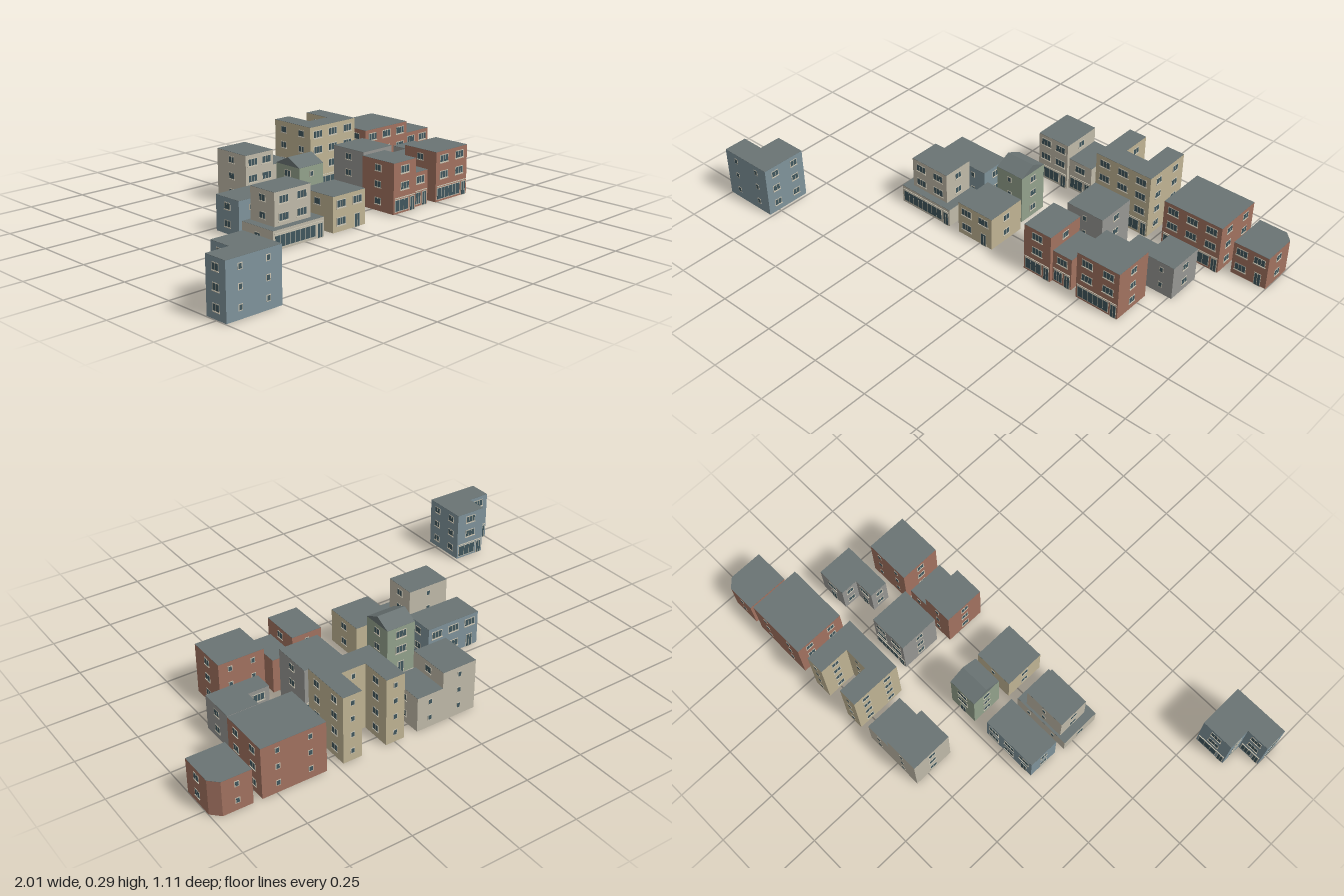
import * as THREE from 'three';
import { mergeGeometries } from 'three/addons/utils/BufferGeometryUtils.js';

const mat = (color) => new THREE.MeshStandardMaterial({ color, roughness: 0.9 });
const ROOF = mat(0x6a7474), GLASS = mat(0x40575e), FRAME = mat(0xcac4b2);
const RED = mat(0xa27260), BEIGE = mat(0xc0b494), WHITE = mat(0xc0baa9);
const GREY = mat(0x979793), BLUE = mat(0x7f939b), GREEN = mat(0x93a28c);

// Storey heights: one, two, three and four floors
const H1 = 0.08, H2 = 0.147, H3 = 0.215, H4 = 0.285;
const WINDOW_Y = [0.042, 0.113, 0.182, 0.25];

const rect = (x0, x1, z0, z1) => [[x0, z0], [x1, z0], [x1, z1], [x0, z1]];

// Vertical prism over a footprint of [x, z] corners
function prism(points, y0, y1) {
  const shape = new THREE.Shape(points.map(([x, z]) => new THREE.Vector2(x, -z)));
  const g = new THREE.ExtrudeGeometry(shape, { depth: y1 - y0, bevelEnabled: false });
  return g.rotateX(-Math.PI / 2).translate(0, y0, 0);
}

// Collects the glass and frame boxes of one building
class Openings {
  constructor() {
    this.glass = [];
    this.frame = [];
  }

  // Place a box on a wall: u along it, y up, standing out by d
  box(list, wall, u, y, w, h, d) {
    const g = new THREE.BoxGeometry(w, h, d * 2);
    g.rotateY(Math.atan2(wall.nx, wall.nz));
    list.push(g.translate(wall.x + wall.dx * u, y, wall.z + wall.dz * u));
  }

  // Framed window or door divided into panes
  add(wall, u, y, w, h, panes) {
    const edge = 0.003;
    this.box(this.frame, wall, u, y, w + edge * 2, h + edge * 2, 0.001);
    this.box(this.glass, wall, u, y, w, h, 0.0016);
    for (let i = 1; i < panes; i++) {
      this.box(this.frame, wall, u - w / 2 + (w * i) / panes, y, 0.002, h, 0.002);
    }
  }

  // Sill or lintel strip
  strip(wall, u, y, w) {
    this.box(this.frame, wall, u, y, w, 0.003, 0.003);
  }
}

// Openings along one wall; the street front has wide windows, the rear small ones
function dressWall(o, wall, len, side, floors, firstFloor, shop) {
  if (len < 0.07) return;
  const n = side === 'front'
    ? Math.max(1, Math.round(len / 0.095))
    : Math.max(1, Math.floor(len / 0.095));
  for (let f = firstFloor; f < floors; f++) {
    const y = WINDOW_Y[f];
    if (side === 'front' && f === 0 && shop) {
      // Shop front: display panes with a door at one end
      const glassW = len - 0.055;
      o.add(wall, -len / 2 + 0.01 + glassW / 2, 0.034, glassW, 0.046, Math.max(3, Math.round(glassW / 0.025)));
      o.add(wall, len / 2 - 0.02, 0.029, 0.022, 0.056, 2);
      o.strip(wall, 0, 0.066, len - 0.01);
      continue;
    }
    for (let i = 0; i < n; i++) {
      const u = (len * (i + 0.5)) / n - len / 2;
      if (side === 'front' && f === 0 && i === n - 1) {
        o.add(wall, u, 0.027, 0.024, 0.053, 2);
      } else if (side === 'front') {
        o.add(wall, u, y, 0.044, 0.027, 3);
        o.strip(wall, u, y - 0.018, 0.054);
      } else if (side === 'back') {
        o.add(wall, u, y, 0.013, 0.018, 1);
      } else {
        o.add(wall, u, y, 0.029, 0.023, 2);
        o.strip(wall, u, y - 0.015, 0.037);
      }
    }
  }
}

// One building from stacked or joined blocks; face is +1 or -1 for a front at +z or -z
function building(name, color, face, shop, blocks) {
  const group = new THREE.Group();
  group.name = name;
  const o = new Openings();
  const walls = [], roofs = [];
  for (const { pts, top, base = 0 } of blocks) {
    walls.push(prism(pts, base, top - 0.001));
    roofs.push(prism(pts, top - 0.001, top));
    const next = (i) => pts[(i + 1) % pts.length];
    const area = pts.reduce((s, [x, z], i) => s + x * next(i)[1] - next(i)[0] * z, 0);
    const floors = Math.round(top / 0.071);
    pts.forEach((a, i) => {
      const b = next(i);
      const len = Math.hypot(b[0] - a[0], b[1] - a[1]);
      const s = Math.sign(area) / len;
      const nx = (b[1] - a[1]) * s, nz = (a[0] - b[0]) * s;
      const wall = { x: (a[0] + b[0]) / 2, z: (a[1] + b[1]) / 2, nx, nz, dx: nz, dz: -nx };
      const side = nz * face > 0.5 ? 'front' : nz * face < -0.5 ? 'back' : 'side';
      dressWall(o, wall, len, side, floors, base > 0 ? 1 : 0, shop);
    });
  }
  const put = (part, list, material) => {
    const mesh = new THREE.Mesh(mergeGeometries(list), material);
    mesh.name = part;
    group.add(mesh);
  };
  put('walls', walls, color);
  put('roof', roofs, ROOF);
  put('windowGlass', o.glass, GLASS);
  put('windowFrames', o.frame, FRAME);
  return group;
}

// Triangular roof with its ridge along x
function gable(x0, x1, z0, z1, y0, y1) {
  const shape = new THREE.Shape([
    new THREE.Vector2(-z1, y0), new THREE.Vector2(-z0, y0), new THREE.Vector2(-(z0 + z1) / 2, y1),
  ]);
  const g = new THREE.ExtrudeGeometry(shape, { depth: x1 - x0, bevelEnabled: false });
  const mesh = new THREE.Mesh(g.rotateY(Math.PI / 2).translate(x0, 0, 0), ROOF);
  mesh.name = 'gableRoof';
  return mesh;
}

export function createModel() {
  const town = new THREE.Group();
  town.name = 'town';

  // Detached corner house
  town.add(building('detachedCornerHouse', BLUE, -1, true, [
    { pts: [[-0.9, 0.355], [-0.76, 0.355], [-0.76, 0.55], [-1, 0.55], [-1, 0.45], [-0.9, 0.45]], top: H3 },
  ]));

  // Back row, facing +z
  town.add(building('steppedHouse', WHITE, 1, true, [
    { pts: rect(-0.115, 0.035, -0.56, -0.38), top: H3 },
    { pts: rect(0.035, 0.15, -0.56, -0.393), top: H2 },
  ]));
  town.add(building('courtyardBlock', BEIGE, 1, true, [
    {
      pts: [[0.21, -0.56], [0.29, -0.56], [0.29, -0.43], [0.395, -0.43],
        [0.395, -0.56], [0.475, -0.56], [0.475, -0.34], [0.21, -0.34]],
      top: H4,
    },
  ]));
  town.add(building('largeBrickBlock', RED, 1, true, [
    { pts: rect(0.545, 0.81, -0.56, -0.34), top: H3 },
  ]));
  town.add(building('chamferedHouse', RED, 1, false, [
    { pts: [[0.845, -0.56], [0.965, -0.56], [1, -0.525], [1, -0.38], [0.845, -0.38]], top: H2 },
  ]));

  // Middle row, facing -z
  town.add(building('longHouse', BLUE, -1, false, [
    { pts: rect(-0.405, -0.16, -0.22, -0.085), top: H2 },
  ]));
  const gabled = building('gabledHouse', GREEN, -1, false, [
    { pts: rect(-0.09, 0.04, -0.22, -0.085), top: H3 },
  ]);
  gabled.add(gable(-0.09, 0.04, -0.22, -0.085, H3, 0.248));
  town.add(gabled);
  town.add(building('squareHouse', GREY, -1, true, [
    { pts: rect(0.27, 0.44, -0.258, -0.085), top: H3 },
  ]));
  town.add(building('cornerHouse', GREY, -1, false, [
    { pts: [[0.635, -0.255], [0.765, -0.255], [0.765, -0.1], [0.545, -0.1], [0.545, -0.18], [0.635, -0.18]], top: H2 },
  ]));

  // Front row, facing +z
  town.add(building('terracedShop', WHITE, 1, true, [
    { pts: rect(-0.42, -0.16, -0.05, 0.125), top: H1 },
    { pts: rect(-0.385, -0.2, -0.04, 0.095), top: H3, base: H1 },
  ]));
  town.add(building('smallHouse', BEIGE, 1, false, [
    { pts: rect(-0.11, 0.065, -0.05, 0.125), top: H2 },
  ]));
  town.add(building('steppedShop', RED, 1, true, [
    { pts: rect(0.23, 0.36, -0.05, 0.125), top: H3 },
    { pts: rect(0.36, 0.45, -0.05, 0.11), top: H2 },
  ]));
  town.add(building('brickShop', RED, 1, true, [
    { pts: rect(0.485, 0.68, -0.05, 0.125), top: H3 },
  ]));

  return town;
}
